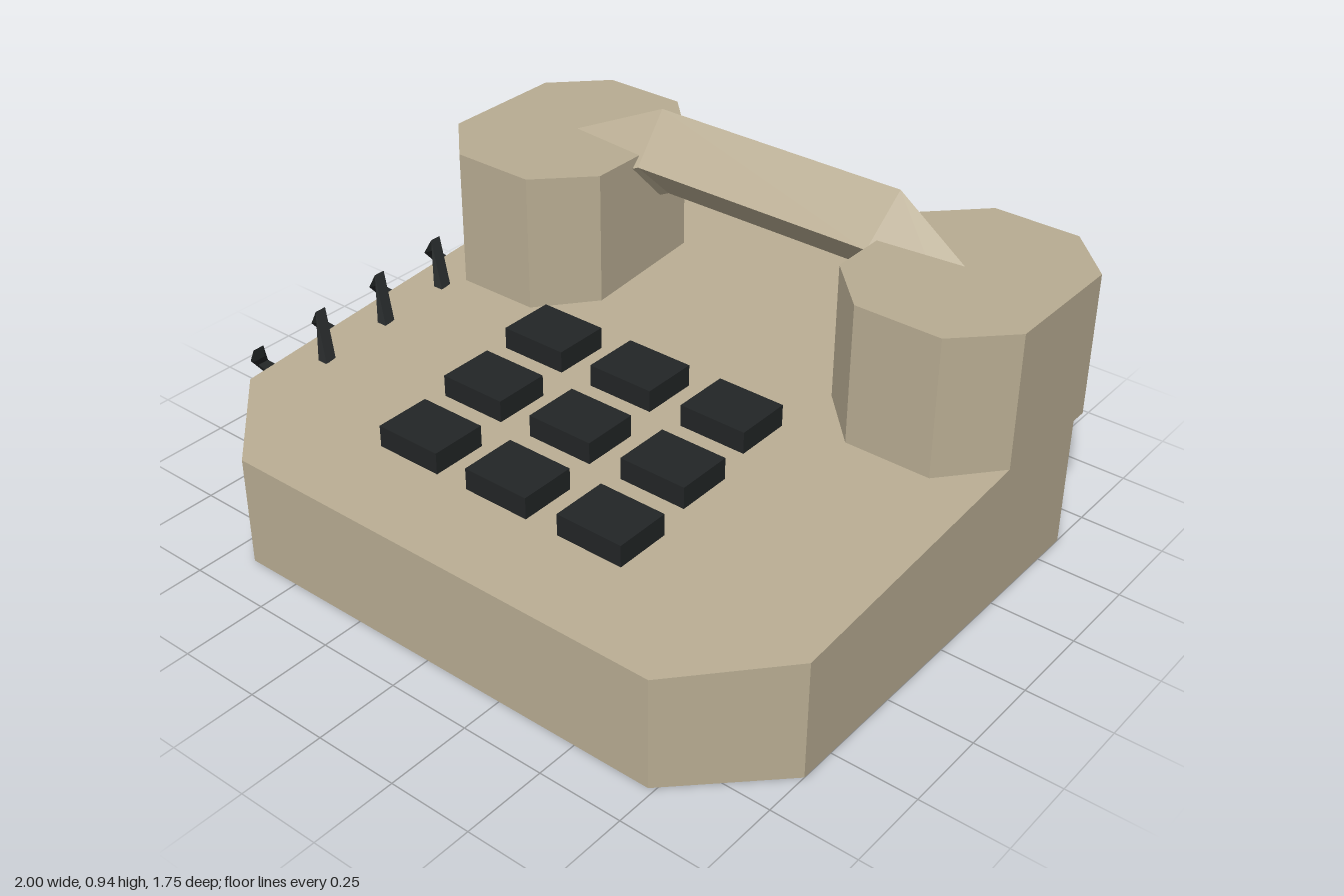
import * as THREE from 'three';

const shell = new THREE.MeshStandardMaterial({ color: 0xb8ac92, flatShading: true });
const dark = new THREE.MeshStandardMaterial({ color: 0x222526, flatShading: true });
const MID = 0.033; // the cord on one side shifts the body off centre

// Upright prism with an octagonal outline: half sizes and half lengths of the uncut sides
function octagonPrism(hx, hz, sx, sz, height) {
  const shape = new THREE.Shape([
    [hx, -sz], [hx, sz], [sx, hz], [-sx, hz], [-hx, sz], [-hx, -sz], [-sx, -hz], [sx, -hz],
  ].map(([x, y]) => new THREE.Vector2(x, y)));
  return new THREE.ExtrudeGeometry(shape, { depth: height, bevelEnabled: false }).rotateX(-Math.PI / 2);
}

// Closed skin over four-cornered sections, counter-clockwise about the direction of travel
function loft(sections) {
  const index = [];
  sections.slice(1).forEach((_, i) => {
    for (let j = 0; j < 4; j++) {
      const a = i * 4 + j, b = i * 4 + (j + 1) % 4;
      index.push(a, b, b + 4, a, b + 4, a + 4);
    }
  });
  const e = (sections.length - 1) * 4;
  index.push(0, 2, 1, 0, 3, 2, e, e + 1, e + 2, e, e + 2, e + 3);
  const g = new THREE.BufferGeometry();
  g.setAttribute('position', new THREE.Float32BufferAttribute(sections.flat(2), 3));
  g.setIndex(index);
  const flat = g.toNonIndexed();
  flat.computeVertexNormals();
  return flat;
}

export function createModel() {
  const group = new THREE.Group();
  const add = (name, geometry, material, x = 0, y = 0, z = 0) => {
    const mesh = new THREE.Mesh(geometry, material);
    mesh.name = name;
    mesh.position.set(x, y, z);
    group.add(mesh);
  };

  // Base with a top that rises towards the back
  const base = octagonPrism(0.967, 0.875, 0.70, 0.61, 1);
  const p = base.attributes.position;
  for (let i = 0; i < p.count; i++) {
    if (p.getY(i) > 0.5) p.setY(i, 0.4025 - p.getZ(i) * 0.077);
  }
  base.computeVertexNormals();
  add('base', base, shell, MID);

  // Earpiece and mouthpiece blocks
  for (const [name, side] of [['rightHandsetEnd', -1], ['leftHandsetEnd', 1]]) {
    add(name, octagonPrism(0.278, 0.345, 0.13, 0.195, 0.43), shell, MID + side * 0.689, 0.40, -0.465);
  }

  // Diamond-section grip whose ends bend down and forward into the blocks
  const diamond = (side, dx, dy, dz) => [
    [side * (0.41 + dx), 0.94 + dy, -0.55 + dz],
    [side * (0.395 + dx), 0.805 + dy, -0.42 + dz],
    [side * (0.385 + dx), 0.675 + dy, -0.55 + dz],
    [side * (0.395 + dx), 0.805 + dy, -0.68 + dz],
  ];
  const bend = [0.44, -0.186, 0.135];
  add('handsetGrip', loft([
    diamond(-1, ...bend), diamond(-1, 0, 0, 0), diamond(1, 0, 0, 0), diamond(1, ...bend),
  ]), shell, MID);

  // Three by three keypad, stepping up towards the back
  const key = new THREE.BoxGeometry(0.207, 0.065, 0.17);
  for (let row = 0; row < 3; row++) {
    for (let col = -1; col <= 1; col++) {
      add('key', key, dark, MID + col * 0.312, 0.408 + row * 0.037, 0.547 - row * 0.247);
    }
  }

  // Coiled cord: a square helix along the right edge, half sunk in the base
  const coil = [];
  for (let k = 0; k <= 14; k++) {
    const angle = -Math.PI / 2 * (k + 1);
    const z = -0.235 + k * 0.059;
    const y = 0.402 - z * 0.077;
    coil.push([[0.095, -0.018], [0.095, 0.018], [0.062, 0.018], [0.062, -0.018]].map(
      ([r, dz]) => [r * Math.cos(angle), y + r * 1.1 * Math.sin(angle), z + dz]));
  }
  add('cord', loft(coil), dark, -0.905);

  return group;
}
